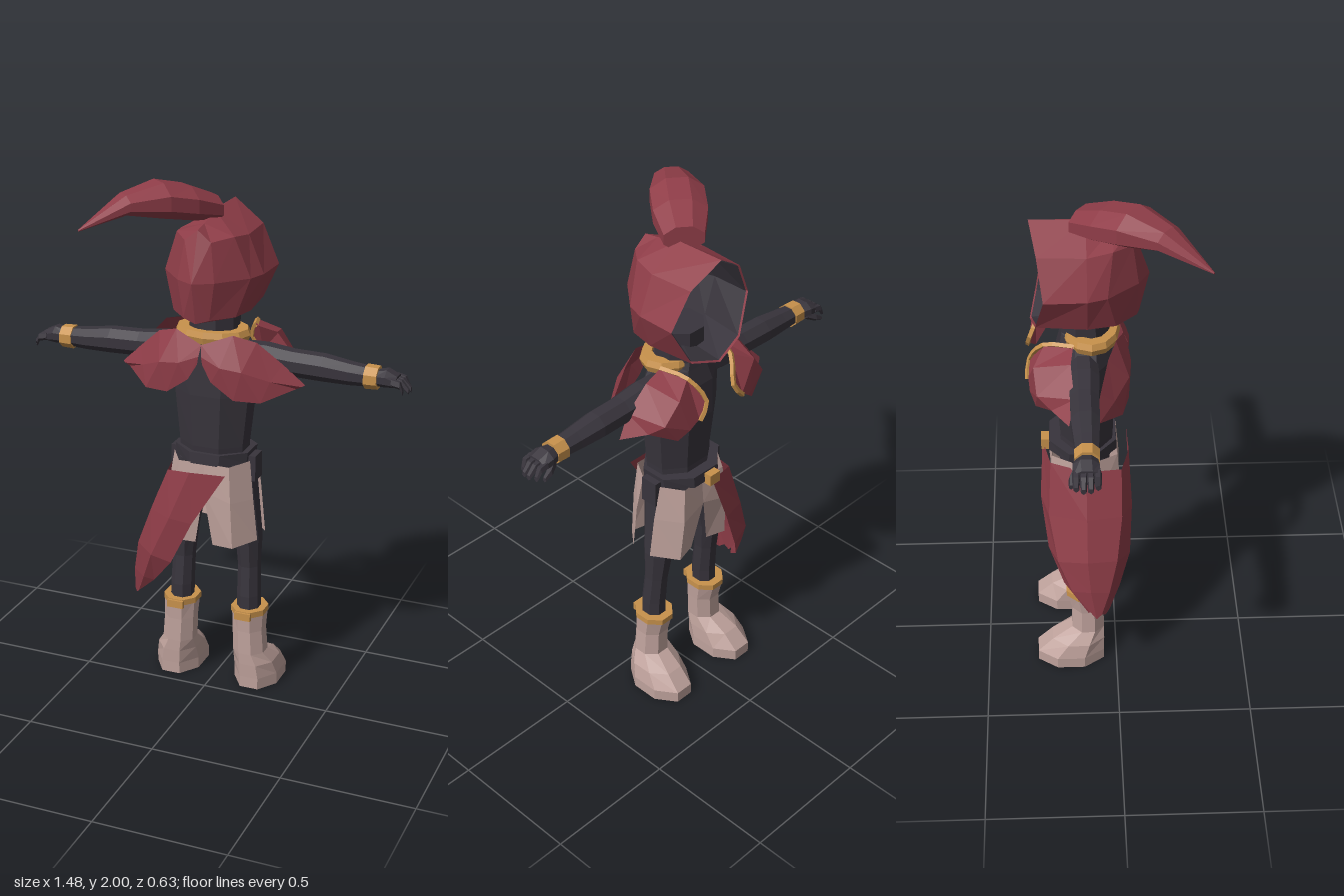
import * as THREE from 'three';

const X = [1, 0, 0], Y = [0, 1, 0], Z = [0, 0, 1];

// Faceted geometry from a flat list of corner points
function facets(tris) {
  const g = new THREE.BufferGeometry();
  g.setAttribute('position', new THREE.Float32BufferAttribute(tris.flat(), 3));
  g.computeVertexNormals();
  return g;
}

// Skin between rows of points; closed rows become a tube with end caps
function loft(rows, closed = false, capStart = closed, capEnd = closed) {
  const tris = [];
  const same = (a, b) => a.every((v, i) => Math.abs(v - b[i]) < 1e-6);
  const tri = (a, b, c) => {
    if (!same(a, b) && !same(b, c) && !same(a, c)) tris.push(a, b, c);
  };
  const n = rows[0].length;
  for (let i = 0; i < rows.length - 1; i++) {
    for (let j = 0; j < (closed ? n : n - 1); j++) {
      const k = (j + 1) % n;
      tri(rows[i][j], rows[i][k], rows[i + 1][j]);
      tri(rows[i][k], rows[i + 1][k], rows[i + 1][j]);
    }
  }
  const cap = (row, flip) => {
    for (let j = 1; j < n - 1; j++) flip ? tri(row[0], row[j + 1], row[j]) : tri(row[0], row[j], row[j + 1]);
  };
  if (capStart) cap(rows[0], true);
  if (capEnd) cap(rows[rows.length - 1], false);
  return facets(tris);
}

// Limb through stations [x, y, z, radiusU, radiusV]; u cross v points along it
function limb(stations, u, v, sides = 8) {
  const k = 1 / Math.cos(Math.PI / sides);
  return loft(stations.map(([x, y, z, a, b]) => Array.from({ length: sides }, (_, i) => {
    const t = (i + 0.5) / sides * Math.PI * 2, p = a * k * Math.cos(t), q = b * k * Math.sin(t);
    return [x + u[0] * p + v[0] * q, y + u[1] * p + v[1] * q, z + u[2] * p + v[2] * q];
  })), true);
}

const box = (w, h, d, x, y, z) => new THREE.BoxGeometry(w, h, d).translate(x, y, z);

// Mirror across x = 0, keeping faces outward
function mirrored(geo) {
  const p = (geo.index ? geo.toNonIndexed() : geo).attributes.position, tris = [];
  for (let i = 0; i < p.count; i += 3) {
    for (const j of [i, i + 2, i + 1]) tris.push([-p.getX(j), p.getY(j), p.getZ(j)]);
  }
  return facets(tris);
}

export function createModel() {
  const model = new THREE.Group();
  const material = (name, color) => {
    const m = new THREE.MeshStandardMaterial({ color, side: THREE.DoubleSide });
    m.name = name;
    return m;
  };
  const red = material('red cloth', 0x8f3d48);
  const dark = material('dark body', 0x38343c);
  const pale = material('pale leather', 0xbfa29c);
  const gold = material('gold trim', 0xc8924c);

  const add = (name, geo, mat) => {
    const flat = geo.index ? geo.toNonIndexed() : geo;
    flat.computeVertexNormals();
    const mesh = new THREE.Mesh(flat, mat);
    mesh.name = name;
    model.add(mesh);
  };
  const pair = (name, geo, mat) => {
    add(name + 'Left', geo, mat);
    add(name + 'Right', mirrored(geo), mat);
  };

  // Torso and neck
  add('torso', limb([
    [0, 0.86, -0.115, 0.09, 0.12], [0, 1.0, -0.105, 0.095, 0.125], [0, 1.2, -0.11, 0.105, 0.145],
    [0, 1.34, -0.11, 0.1, 0.15], [0, 1.41, -0.105, 0.09, 0.11], [0, 1.44, -0.105, 0.085, 0.085],
    [0, 1.56, -0.105, 0.085, 0.085],
  ], Z, X), dark);

  // Hood: half outlines from bottom to top, mirrored into rings, closing at the back
  const ring = half => [...half, ...half.slice(1, -1).reverse().map(([x, y, z]) => [-x, y, z])];
  const hood = loft([
    ring([[0, 1.48, -0.3], [0.12, 1.52, -0.28], [0.19, 1.66, -0.25], [0.12, 1.8, -0.27], [0, 1.88, -0.295]]),
    ring([[0, 1.5, -0.1], [0.14, 1.52, -0.1], [0.188, 1.66, -0.1], [0.13, 1.8, -0.1], [0, 1.875, -0.1]]),
    ring([[0, 1.5, 0.02], [0.12, 1.52, 0], [0.165, 1.66, -0.03], [0.11, 1.81, -0.01], [0, 1.85, 0.0]]),
    ring([[0, 1.505, 0.085], [0.05, 1.52, 0.075], [0.07, 1.66, 0.08], [0.05, 1.8, 0.06], [0, 1.84, 0.06]]),
    ring(Array(5).fill([0, 1.66, 0.12])),
  ], true, false, false);
  add('hood', hood, red);
  add('hoodLining', hood.clone().translate(0, -1.67, 0.09).scale(0.97, 0.97, 0.97).translate(0, 1.67, -0.09), dark);

  // Plume sweeping off the hood
  add('plume', limb([
    [-0.01, 1.885, -0.115, 0.07, 0.045], [-0.08, 1.915, -0.03, 0.095, 0.06], [-0.15, 1.937, 0.055, 0.095, 0.063],
    [-0.235, 1.935, 0.165, 0.06, 0.035], [-0.338, 1.865, 0.31, 0.003, 0.003],
  ], [0.78, 0, 0.62], Y), red);

  // Collar ring
  const band = [[0.095, 1.41], [0.135, 1.405], [0.145, 1.43], [0.135, 1.452], [0.095, 1.452], [0.095, 1.41]];
  add('collar', new THREE.LatheGeometry(band.map(p => new THREE.Vector2(...p)), 12)
    .scale(1, 1, 0.72).translate(0, 0, -0.085), gold);

  // Shoulder cape: four ragged petals
  pair('capeBack', loft([
    [[0.01, 1.34, 0.045], [0.045, 1.28, 0.05], [0.13, 1.22, 0.045], [0.225, 1.215, 0.02], [0.33, 1.255, -0.07]],
    [[0.005, 1.37, 0.045], [0.08, 1.34, 0.055], [0.16, 1.33, 0.045], [0.25, 1.29, -0.01], [0.35, 1.265, -0.07]],
    [[0, 1.41, 0.03], [0.11, 1.45, 0], [0.19, 1.425, -0.03], [0.28, 1.345, -0.06], [0.36, 1.27, -0.08]],
  ]), red);
  const lapel = [[0.14, 1.45, -0.15], [0.11, 1.44, -0.25], [0.07, 1.35, -0.305]];
  pair('capeFront', loft([
    [[0.36, 1.27, -0.17], [0.28, 1.28, -0.23], [0.19, 1.235, -0.285]],
    [[0.3, 1.34, -0.15], [0.25, 1.32, -0.28], [0.15, 1.27, -0.305]],
    [[0.22, 1.43, -0.16], [0.19, 1.4, -0.29], [0.11, 1.3, -0.31]],
    lapel,
  ]), red);
  pair('capeTrim', new THREE.TubeGeometry(
    new THREE.CatmullRomCurve3([...lapel, [0.11, 1.295, -0.312]].map(p => new THREE.Vector3(...p))), 8, 0.01, 4), gold);

  // Arms, wristbands, hands
  pair('arm', limb([
    [0.08, 1.35, -0.115, 0.045, 0.05], [0.2, 1.345, -0.115, 0.052, 0.055], [0.3, 1.338, -0.115, 0.047, 0.05],
    [0.42, 1.335, -0.115, 0.047, 0.05], [0.52, 1.328, -0.113, 0.04, 0.043], [0.62, 1.325, -0.113, 0.032, 0.036],
  ], Y, Z), dark);
  pair('wristband', limb([[0.577, 1.325, -0.113, 0.042, 0.043], [0.625, 1.325, -0.113, 0.04, 0.042]], Y, Z), gold);
  pair('hand', limb([
    [0.615, 1.325, -0.113, 0.028, 0.034], [0.655, 1.328, -0.118, 0.032, 0.045], [0.695, 1.322, -0.115, 0.02, 0.044],
  ], Y, Z), dark);
  [-0.152, -0.128, -0.104, -0.08].forEach((z, i) => {
    const tip = [0.728, 0.74, 0.738, 0.722][i];
    pair('finger' + i, limb([
      [0.68, 1.325, z, 0.013, 0.011], [0.712, 1.318, z, 0.013, 0.011], [tip, 1.292, z, 0.009, 0.008],
    ], Y, Z, 5), dark);
  });
  pair('thumb', limb([
    [0.64, 1.315, -0.145, 0.014, 0.012], [0.675, 1.298, -0.162, 0.013, 0.012], [0.705, 1.285, -0.168, 0.008, 0.007],
  ], Y, Z, 5), dark);

  // Belt with buckle and hip pouches
  add('belt', limb([[0, 0.935, -0.12, 0.125, 0.14], [0, 0.978, -0.12, 0.122, 0.145]], Z, X), dark);
  add('beltBuckle', box(0.05, 0.045, 0.03, -0.02, 0.95, -0.258), gold);
  pair('pouch', box(0.035, 0.1, 0.07, 0.152, 0.91, -0.12), dark);

  // Shorts: panels front and back, open along the outer sides
  pair('shortsBack', loft([
    [[0.035, 0.615, 0.005], [0.12, 0.62, 0.02], [0.19, 0.635, -0.06]],
    [[0.0, 0.83, 0.01], [0.11, 0.8, 0.018], [0.172, 0.8, -0.06]],
    [[0.0, 0.94, 0.003], [0.1, 0.94, 0.006], [0.152, 0.945, -0.075]],
  ]), pale);
  pair('shortsFront', loft([
    [[0.0, 0.94, -0.225], [0.1, 0.94, -0.235], [0.152, 0.945, -0.16]],
    [[0.0, 0.83, -0.235], [0.11, 0.8, -0.245], [0.172, 0.8, -0.15]],
    [[0.04, 0.63, -0.215], [0.12, 0.625, -0.235], [0.19, 0.635, -0.145]],
  ]), pale);

  // Legs
  pair('leg', limb([
    [0.14, 0.28, -0.115, 0.045, 0.042], [0.138, 0.38, -0.115, 0.045, 0.042], [0.135, 0.5, -0.125, 0.043, 0.04],
    [0.13, 0.62, -0.13, 0.055, 0.047], [0.1, 0.82, -0.12, 0.065, 0.06], [0.085, 0.93, -0.115, 0.07, 0.065],
  ], Z, X), dark);

  // Boots with cuffs and buckles
  pair('boot', limb([
    [0.165, 0, -0.178, 0.128, 0.088], [0.165, 0.045, -0.178, 0.128, 0.088], [0.16, 0.1, -0.148, 0.1, 0.08],
    [0.148, 0.145, -0.11, 0.062, 0.062], [0.143, 0.24, -0.11, 0.06, 0.06], [0.142, 0.315, -0.118, 0.07, 0.063],
  ], Z, X), pale);
  pair('bootCuff', limb([[0.141, 0.305, -0.118, 0.073, 0.066], [0.141, 0.328, -0.118, 0.073, 0.066]], Z, X), gold);
  pair('bootBuckle', box(0.065, 0.03, 0.015, 0.14, 0.31, -0.044), gold);

  // Sash wrapped round one hip, narrowing to a low tail
  add('sash', loft([
    [[0.1, 0.92, 0.045], [-0.04, 0.915, 0.05], [-0.14, 0.9, 0.02], [-0.165, 0.91, -0.11], [-0.13, 0.93, -0.24], [-0.01, 0.945, -0.268]],
    [[-0.03, 0.71, 0.055], [-0.12, 0.72, 0.06], [-0.21, 0.73, 0.02], [-0.24, 0.74, -0.11], [-0.19, 0.73, -0.25], [-0.08, 0.74, -0.28]],
    [[-0.12, 0.53, 0.045], [-0.2, 0.55, 0.05], [-0.275, 0.57, 0], [-0.295, 0.58, -0.11], [-0.26, 0.56, -0.22], [-0.16, 0.55, -0.255]],
    [[-0.21, 0.42, 0], [-0.25, 0.43, 0.01], [-0.305, 0.44, -0.03], [-0.315, 0.45, -0.1], [-0.295, 0.44, -0.17], [-0.23, 0.43, -0.2]],
    [[-0.29, 0.345, -0.03], [-0.305, 0.33, -0.045], [-0.318, 0.34, -0.06], [-0.323, 0.322, -0.08], [-0.315, 0.35, -0.1], [-0.3, 0.335, -0.11]],
  ]), red);

  return model;
}
